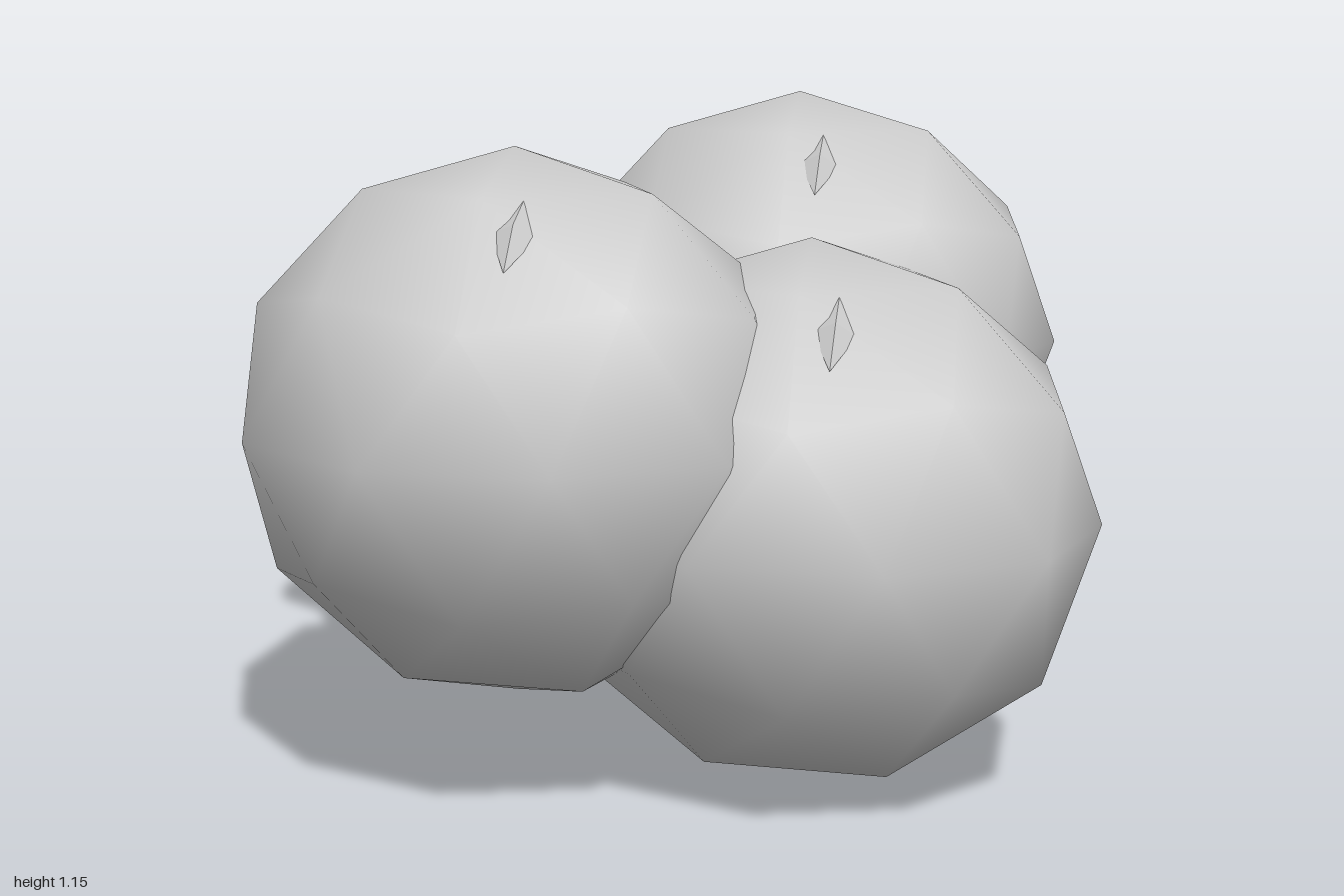
import * as THREE from 'three';
import { toCreasedNormals } from 'three/addons/utils/BufferGeometryUtils.js';
import { ConvexGeometry } from 'three/addons/geometries/ConvexGeometry.js';

const smooth = new THREE.MeshStandardMaterial({ color: 0xcccccc });
const flat = new THREE.MeshStandardMaterial({ color: 0xcccccc, flatShading: true });

function mesh(name, geometry, material = smooth) {
  const m = new THREE.Mesh(geometry, material);
  m.name = name;
  return m;
}

// One balloon: low-poly egg, knot at the back, small shine mark at the front
function balloon(name, x, y, z) {
  const g = new THREE.Group();
  g.name = name;
  const skin = new THREE.IcosahedronGeometry(1, 1);
  skin.rotateZ(-Math.atan2(2, 1 + Math.sqrt(5))); // a vertex points straight up
  skin.scale(0.46, 0.46, 0.5);
  g.add(mesh('balloonSkin', skin));

  const knot = new THREE.ConeGeometry(0.075, 0.12, 8);
  knot.rotateX(-Math.PI / 2);
  knot.translate(0, 0, -0.535);
  g.add(mesh('knot', knot, flat));

  // long axis runs along the surface, thin axis points outward
  const shine = mesh('shineMark', new THREE.OctahedronGeometry(1), flat);
  const out = new THREE.Vector3(-0.42, 0.78, 0.46).normalize();
  const side = new THREE.Vector3(1, 0.8, -0.75).cross(out).normalize();
  const along = new THREE.Vector3().crossVectors(out, side);
  shine.quaternion.setFromRotationMatrix(new THREE.Matrix4().makeBasis(along, out, side));
  shine.scale.set(0.08, 0.025, 0.035);
  shine.position.set(-0.185, 0.338, 0.22);
  g.add(shine);

  g.position.set(x, y, z);
  return g;
}

// Straight six-sided rods joined end to end
function string(name, points) {
  const g = new THREE.Group();
  g.name = name;
  for (let i = 0; i < points.length - 1; i++) {
    const a = new THREE.Vector3(...points[i]);
    const b = new THREE.Vector3(...points[i + 1]);
    const dir = b.clone().sub(a);
    const rod = mesh('stringPart', new THREE.CylinderGeometry(0.025, 0.025, dir.length() + 0.006, 6), flat);
    rod.position.copy(a).add(b).multiplyScalar(0.5);
    rod.quaternion.setFromUnitVectors(new THREE.Vector3(0, 1, 0), dir.normalize());
    g.add(rod);
  }
  return g;
}

// Box with wide chamfers on every edge
function chamferedBox(hx, hy, hz, bevel) {
  const pts = [];
  for (const sx of [-1, 1]) for (const sy of [-1, 1]) for (const sz of [-1, 1]) {
    const inner = new THREE.Vector3(sx * (hx - bevel), sy * (hy - bevel), sz * (hz - bevel));
    pts.push(inner.clone().setX(sx * hx), inner.clone().setY(sy * hy), inner.clone().setZ(sz * hz));
  }
  return toCreasedNormals(new ConvexGeometry(pts), Math.PI / 3);
}

export function createModel() {
  const model = new THREE.Group();
  model.name = 'balloonBunch';

  model.add(
    balloon('leftBalloon', 0.38, 0.69, 0.115),
    balloon('rightBalloon', -0.383, 0.615, 0.193),
    balloon('frontBalloon', 0, 0.463, 0.5)
  );

  // Weight that holds the strings
  const weight = mesh('weight', chamferedBox(0.114, 0.114, 0.192, 0.077));
  weight.position.set(0, 0.233, -0.808);
  model.add(weight);

  // Strings: one in the middle, one mirrored on each side
  model.add(string('middleString', [[0, 0.28, -0.74], [0, 0.31, -0.58], [0, 0.445, -0.2]]));
  for (const s of [-1, 1]) {
    model.add(string(s > 0 ? 'leftString' : 'rightString',
      [[s * 0.1, 0.278, -0.755], [s * 0.195, 0.31, -0.58], [s * 0.38, 0.44, -0.23]]));
  }
  return model;
}
